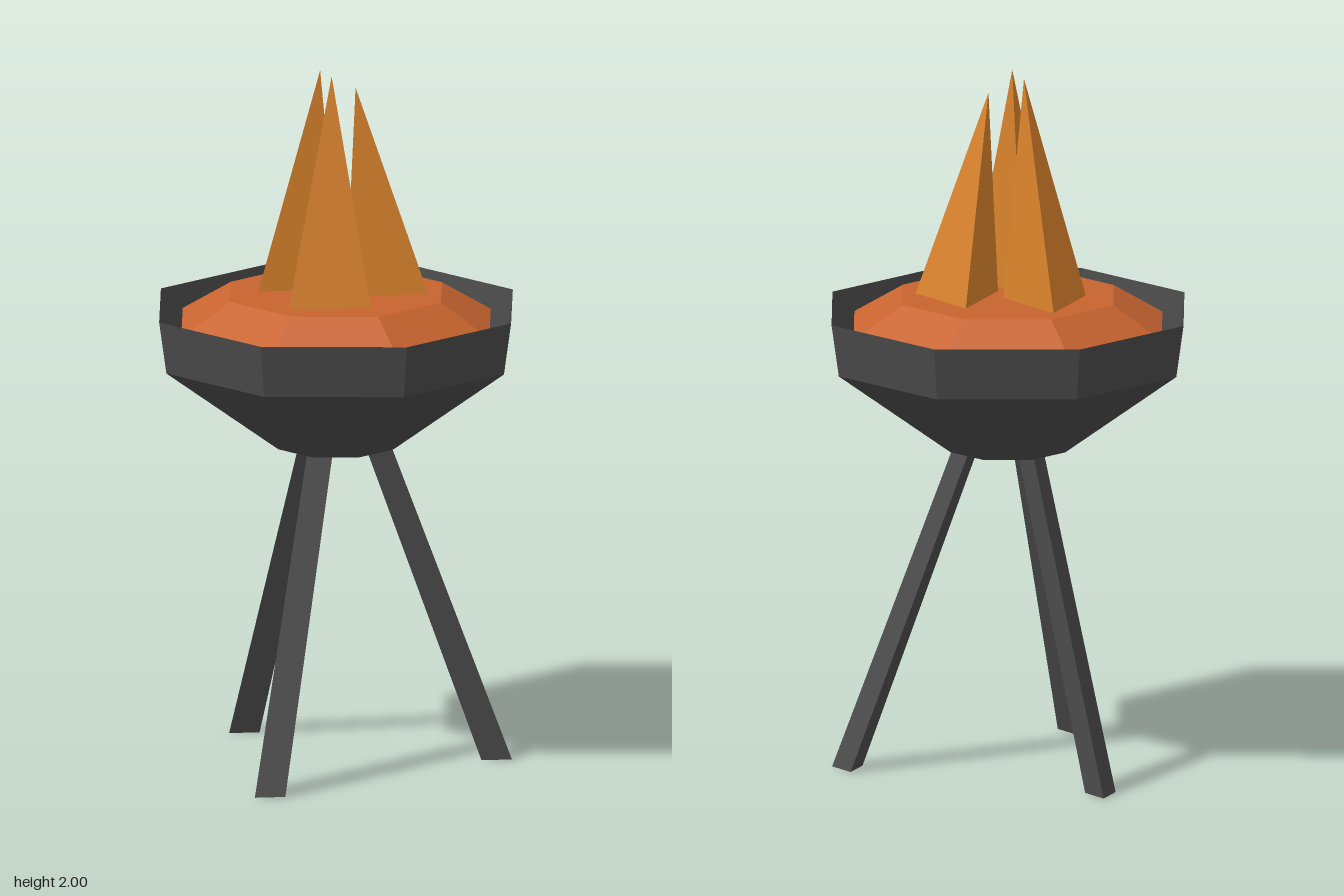
import * as THREE from 'three';

// Three-sided tapered prism whose ends stay level while its axis leans from bottom to top
function leaningPrism(bottom, top, bottomRadius, topRadius) {
  const height = top[1] - bottom[1];
  const geometry = new THREE.CylinderGeometry(topRadius, bottomRadius, height, 3, 1, false, Math.PI / 2);
  const pos = geometry.attributes.position;
  for (let i = 0; i < pos.count; i++) {
    const t = pos.getY(i) / height + 0.5;
    pos.setXYZ(
      i,
      pos.getX(i) + THREE.MathUtils.lerp(bottom[0], top[0], t),
      THREE.MathUtils.lerp(bottom[1], top[1], t),
      pos.getZ(i) + THREE.MathUtils.lerp(bottom[2], top[2], t)
    );
  }
  geometry.computeVertexNormals();
  return geometry;
}

function material(name, color, side = THREE.FrontSide) {
  const m = new THREE.MeshStandardMaterial({ color, flatShading: true, side });
  m.name = name;
  return m;
}

export function createModel() {
  const group = new THREE.Group();
  group.name = 'brazier';
  const iron = material('dark iron', 0x4a4a4a, THREE.DoubleSide);
  const ember = material('ember', 0xc8642f);
  const fire = material('flame orange', 0xd9822b);

  const add = (name, geometry, mat) => {
    const mesh = new THREE.Mesh(geometry, mat);
    mesh.name = name;
    group.add(mesh);
    return mesh;
  };

  // Thin open octagonal bowl
  const profile = [[0, 0.92], [0.175, 0.92], [0.515, 1.17], [0.537, 1.32]];
  add('bowl', new THREE.LatheGeometry(profile.map(([r, y]) => new THREE.Vector2(r, y)), 8), iron);

  // Heap of embers filling the bowl
  add('embers', new THREE.CylinderGeometry(0.322, 0.47, 0.09, 8), ember).position.y = 1.315;

  // Three splayed legs
  for (let i = 0; i < 3; i++) {
    const a = THREE.MathUtils.degToRad(91.5 + i * 120);
    const at = (r, y) => [r * Math.cos(a), y, r * Math.sin(a)];
    add('leg' + (i + 1), leaningPrism(at(0.452, 0), at(0.112, 0.93), 0.05, 0.042), iron);
  }

  // Three flames leaning towards the middle: base centre, tip
  const flames = [
    [[-0.137, 1.356, -0.037], [-0.055, 1.995, -0.015]],
    [[0.113, 1.356, -0.083], [0.045, 1.95, -0.035]],
    [[0.029, 1.356, 0.133], [0.011, 2, 0.057]],
  ];
  flames.forEach(([base, tip], i) => add('flame' + (i + 1), leaningPrism(base, tip, 0.136, 0), fire));

  return group;
}
